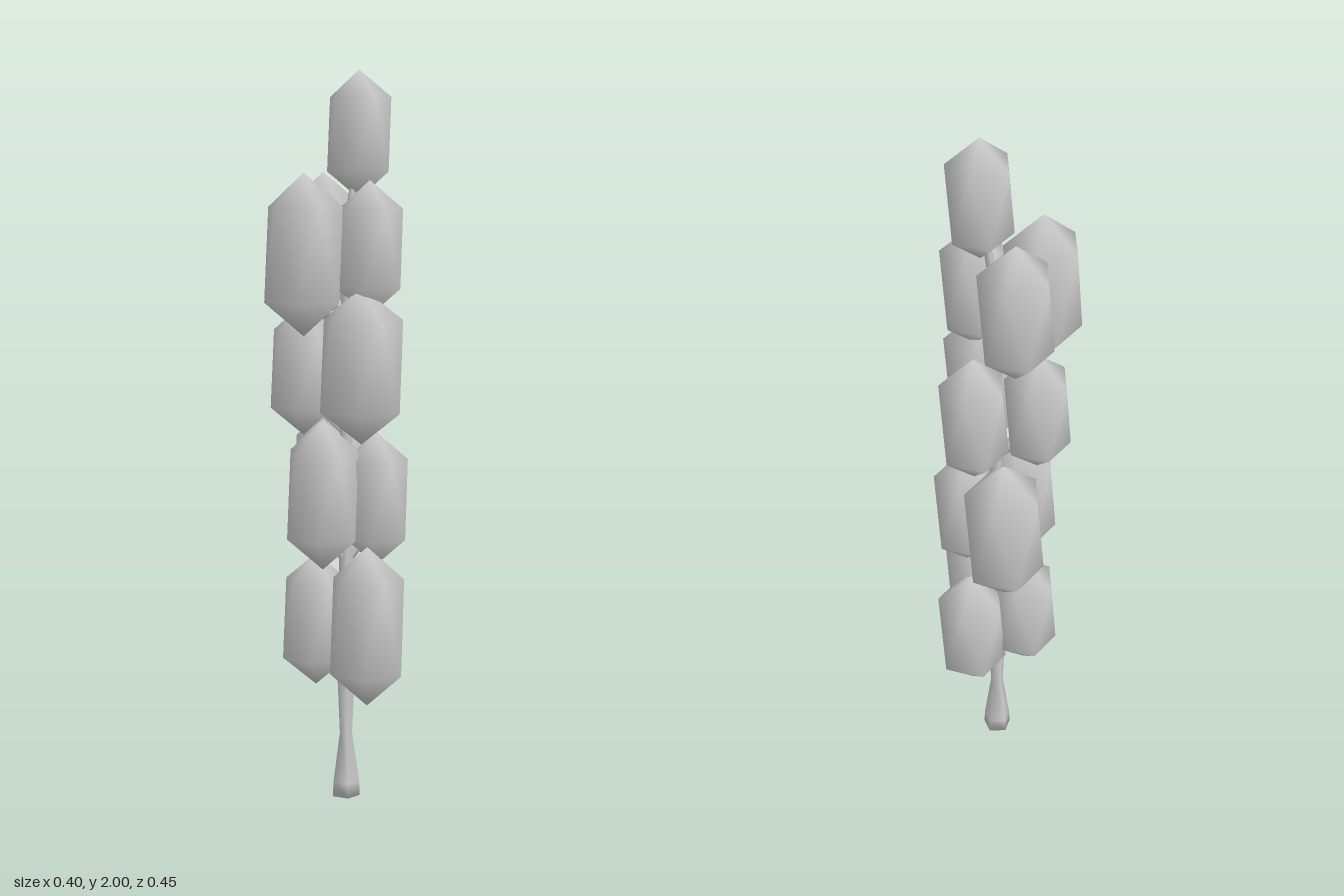
import * as THREE from 'three';

const stalkGrey = new THREE.MeshStandardMaterial({ color: 0xcccccc });
stalkGrey.name = 'pale grey';

// Twelve-cornered pod: two staggered five-sided rings between pointed tips
function podGeometry() {
  const pos = [0, 1, 0], index = [];
  for (let ring = 0; ring < 2; ring++) {
    for (let i = 0; i < 5; i++) {
      const a = (i + ring / 2) * Math.PI * 2 / 5;
      pos.push(Math.cos(a), ring ? -0.58 : 0.58, -Math.sin(a));
    }
  }
  pos.push(0, -1, 0);
  for (let i = 0; i < 5; i++) {
    const u = 1 + i, v = 1 + (i + 1) % 5, l = 6 + i, m = 6 + (i + 1) % 5;
    index.push(0, u, v, u, l, v, v, l, m, 11, m, l);
  }
  const g = new THREE.BufferGeometry();
  g.setAttribute('position', new THREE.Float32BufferAttribute(pos, 3));
  g.setIndex(index);
  return g;
}

// Thin tapered stick between two points
function stick(name, from, to, r0, r1) {
  const dir = to.clone().sub(from);
  const mesh = new THREE.Mesh(new THREE.CylinderGeometry(r1, r0, dir.length(), 5), stalkGrey);
  mesh.position.copy(from).add(to).multiplyScalar(0.5);
  mesh.quaternion.setFromUnitVectors(new THREE.Vector3(0, 1, 0), dir.normalize());
  mesh.name = name;
  return mesh;
}

export function createModel() {
  const model = new THREE.Group();
  model.name = 'budStalk';

  // Pods: centre x, y, z, radius, half height
  const pods = [
    [0.068, 1.83, 0, 0.087, 0.17],
    [-0.097, 1.515, 0.093, 0.105, 0.215],
    [0.082, 1.53, 0.082, 0.09, 0.18],
    [-0.02, 1.53, -0.062, 0.1, 0.2],
    [0.055, 1.22, 0.115, 0.112, 0.21],
    [-0.08, 1.2, -0.027, 0.09, 0.18],
    [0.09, 1.2, -0.058, 0.092, 0.19],
    [0.012, 0.87, -0.122, 0.108, 0.22],
    [-0.04, 0.865, 0.055, 0.098, 0.205],
    [0.113, 0.845, 0.02, 0.088, 0.185],
    [0.072, 0.51, 0.112, 0.102, 0.22],
    [-0.047, 0.505, -0.025, 0.092, 0.185],
    [0.102, 0.47, -0.063, 0.095, 0.19],
  ];
  pods.forEach(([x, y, z, r, h], i) => {
    const g = podGeometry().scale(r, h, r);
    g.computeVertexNormals();
    const pod = new THREE.Mesh(g, stalkGrey);
    pod.position.set(x, y, z);
    pod.name = i ? 'pod' : 'tipPod';
    model.add(pod);
    // Short twig joining the pod to the stem
    if (i) model.add(stick('twig', new THREE.Vector3(0.03, y - h * 0.95, 0.01),
      new THREE.Vector3(x, y - h * 0.4, z), 0.012, 0.008));
  });

  // Stem, flared at the foot and pinched above it
  const profile = [[0, 0.005], [0.04, 0.01], [0.038, 0.05], [0.018, 0.19], [0.026, 0.36],
    [0.02, 0.7], [0.018, 1.1], [0.013, 1.6]];
  const stem = new THREE.Mesh(new THREE.LatheGeometry(
    profile.map(([r, y]) => new THREE.Vector2(r, y)), 5), stalkGrey);
  stem.position.set(0.03, 0, 0.015);
  stem.name = 'stem';
  model.add(stem);
  model.add(stick('tipTwig', new THREE.Vector3(0.03, 1.55, 0.015),
    new THREE.Vector3(0.06, 1.75, 0), 0.013, 0.01));
  return model;
}
